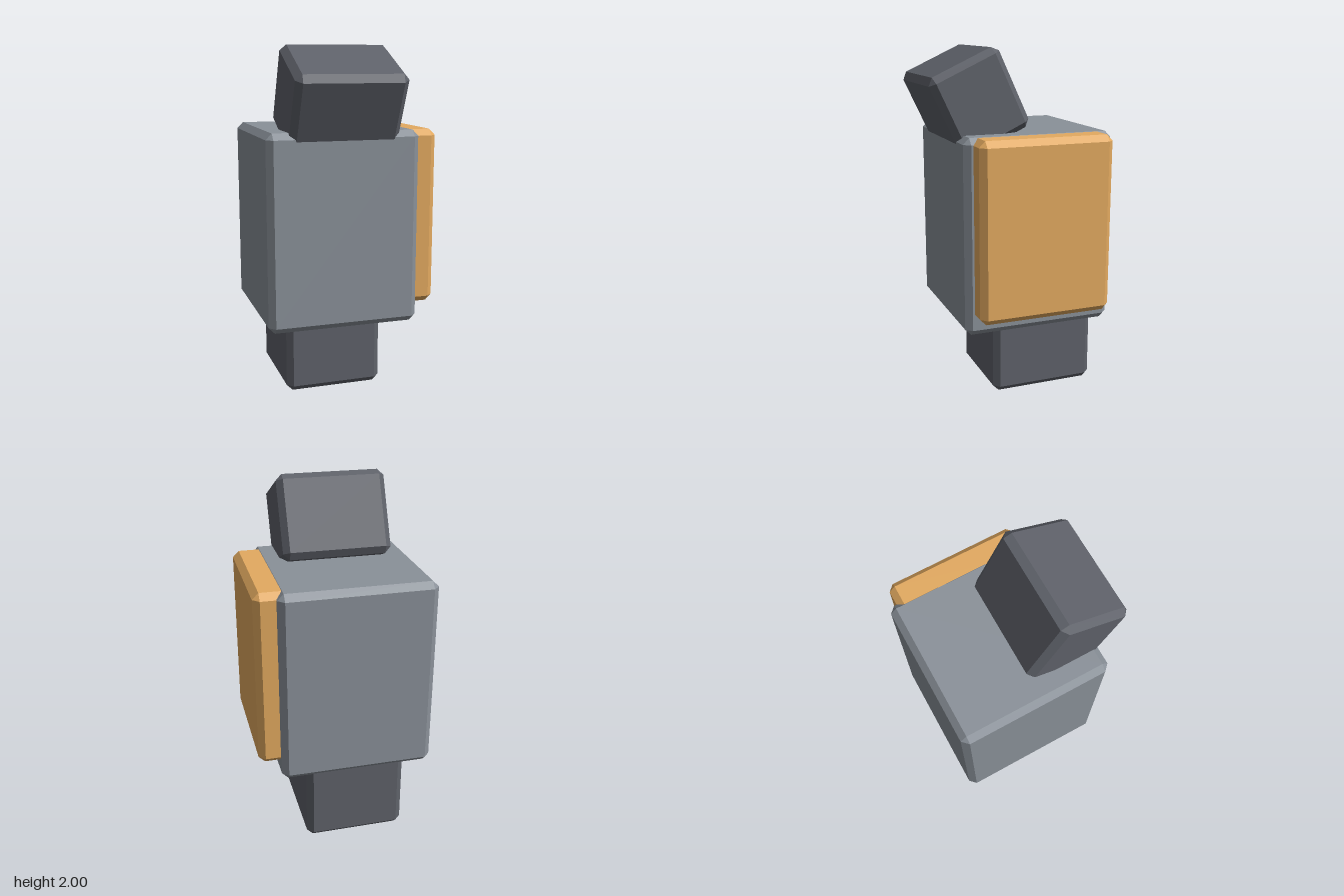
import * as THREE from 'three';
import { ConvexGeometry } from 'three/addons/geometries/ConvexGeometry.js';

const BEVEL = 0.035;

// Box with chamfered edges and triangular corners, as the hull of 24 points
function chamferBox(w, h, d, c = BEVEL) {
  const points = [];
  for (const sx of [-1, 1]) for (const sy of [-1, 1]) for (const sz of [-1, 1]) {
    for (let axis = 0; axis < 3; axis++) {
      const half = [w / 2 - c, h / 2 - c, d / 2 - c];
      half[axis] += c;
      points.push(new THREE.Vector3(sx * half[0], sy * half[1], sz * half[2]));
    }
  }
  return new ConvexGeometry(points);
}

function addBlock(group, name, color, size, position) {
  const material = new THREE.MeshStandardMaterial({ color, flatShading: true });
  const mesh = new THREE.Mesh(chamferBox(...size), material);
  mesh.name = name;
  mesh.position.set(...position);
  group.add(mesh);
  return mesh;
}

export function createModel() {
  const group = new THREE.Group();
  group.name = 'blockFigure';
  const dark = 0x5f626a, grey = 0x8a9199, orange = 0xe3aa60;

  // Main block
  addBlock(group, 'body', grey, [0.865, 1.1, 0.865], [-0.0625, 0.99, -0.0725]);

  // Slab let into the left side, a hair below the top of the body
  addBlock(group, 'sidePanel', orange, [0.24, 1.003, 0.768], [0.37, 1.0365, -0.071]);

  // Foot, running up into the body
  addBlock(group, 'foot', dark, [0.57, 0.62, 0.62], [-0.06, 0.31, -0.165]);

  // Head, tipped forward and sunk into the top
  const head = addBlock(group, 'head', dark, [0.62, 0.477, 0.43], [-0.06, 1.706, 0.222]);
  head.rotation.x = THREE.MathUtils.degToRad(25);

  return group;
}
